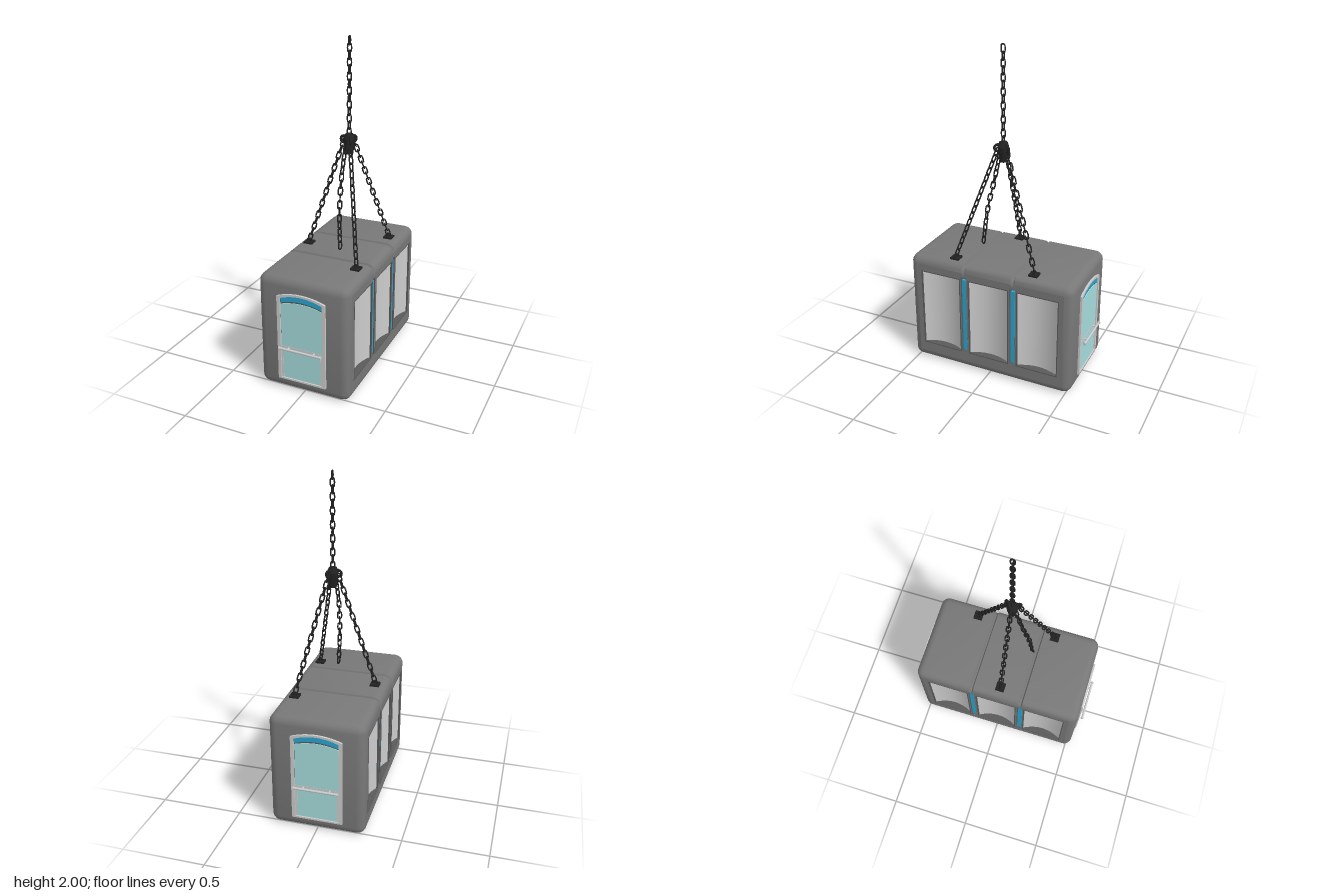
import * as THREE from 'three';
import { mergeGeometries, toCreasedNormals } from 'three/addons/utils/BufferGeometryUtils.js';

const mat = (color, side = THREE.FrontSide) => new THREE.MeshStandardMaterial({ color, side });
const grey = mat(0xcccccc), bodyGrey = mat(0x787878), dark = mat(0x222222);
const trim = mat(0x5a5a5a), blue = mat(0x2aa5d0), glass = mat(0xa6dcdc);

const L = 0.53, H = 0.715, W = 0.285, R = 0.05; // half length, height, half width, edge radius
const GROOVE = 0.161;

function add(parent, name, geometry, material, x = 0, y = 0, z = 0) {
  const mesh = new THREE.Mesh(geometry, material);
  mesh.name = name;
  mesh.position.set(x, y, z);
  parent.add(mesh);
  return mesh;
}

const rect = (x0, x1, y0, y1, T = THREE.Shape) =>
  new T([[x0, y0], [x1, y0], [x1, y1], [x0, y1]].map(p => new THREE.Vector2(...p)));

const extrude = (shape, depth) =>
  new THREE.ExtrudeGeometry(shape, { depth, bevelEnabled: false, curveSegments: 10 });

// Side outline of the cabin, with rounded corners and two notches in the roof
function outline(inset) {
  const r = Math.max(R - inset, 0.002), w = L - inset, top = H - inset, pts = [];
  const corner = (cx, cy, start) => {
    for (let i = 0; i <= 4; i++) {
      const a = start + i * Math.PI / 8;
      pts.push(new THREE.Vector2(cx + r * Math.cos(a), cy + r * Math.sin(a)));
    }
  };
  corner(w - r, inset + r, -Math.PI / 2);
  corner(w - r, top - r, 0);
  for (const s of [1, -1]) for (const [d, h] of [[0.012, 0], [0.004, 0.018], [-0.004, 0.018], [-0.012, 0]])
    pts.push(new THREE.Vector2(s * GROOVE + d, top - h));
  corner(-w + r, top - r, Math.PI / 2);
  corner(-w + r, inset + r, Math.PI);
  return pts;
}

// Rounded skin: outlines lofted across the width
function skinGeometry() {
  const rings = [];
  for (const s of [-1, 1]) for (let i = 0; i <= 4; i++) {
    const t = (s < 0 ? 4 - i : i) * Math.PI / 8;
    rings.push({ z: s * (W - R + R * Math.sin(t)), pts: outline(R * (1 - Math.cos(t))) });
  }
  const pos = [], idx = [], n = rings[0].pts.length;
  for (const ring of rings) for (const p of ring.pts) pos.push(p.x, p.y, ring.z);
  for (let j = 0; j < rings.length - 1; j++) for (let i = 0; i < n; i++) {
    const k = (i + 1) % n, a = j * n + i, b = j * n + k;
    idx.push(a, b, b + n, a, b + n, a + n);
  }
  const g = new THREE.BufferGeometry();
  g.setAttribute('position', new THREE.Float32BufferAttribute(pos, 3));
  g.setIndex(idx);
  return toCreasedNormals(g, 0.6);
}

// One long side: wall with openings, concave panels and blue strips
function makeSide() {
  const side = new THREE.Group();
  side.name = 'sideWall';
  const wall = new THREE.Shape(outline(R));
  const y0 = 0.115, y1 = 0.62, half = 0.13;
  for (const c of [-0.318, 0, 0.318]) {
    wall.holes.push(rect(c - half, c + half, y0, y1, THREE.Path));
    const frame = rect(c - half - 0.003, c + half + 0.003, y0 - 0.003, y1 + 0.003);
    frame.holes.push(rect(c - half + 0.003, c + half - 0.003, y0 + 0.003, y1 - 0.003, THREE.Path));
    add(side, 'panelFrame', extrude(frame, 0.05), trim, 0, 0, W - 0.049);
    const panel = new THREE.PlaneGeometry(2 * half, y1 - y0, 16, 1);
    const p = panel.attributes.position;
    for (let i = 0; i < p.count; i++) p.setZ(i, -0.036 * (1 - (p.getX(i) / half) ** 2));
    panel.computeVertexNormals();
    add(side, 'concavePanel', panel, grey, c, (y0 + y1) / 2, W - 0.008);
  }
  for (const c of [-GROOVE, GROOVE]) {
    wall.holes.push(rect(c - 0.017, c + 0.017, 0.12, 0.635, THREE.Path));
    const channel = rect(c - 0.018, c + 0.018, 0.119, 0.636);
    channel.holes.push(rect(c - 0.0165, c + 0.0165, 0.1205, 0.6345, THREE.Path));
    add(side, 'stripChannel', extrude(channel, 0.025), trim, 0, 0, W - 0.0255);
    add(side, 'channelBack', new THREE.PlaneGeometry(0.036, 0.517), trim, c, 0.3775, W - 0.025);
    add(side, 'blueStrip', new THREE.BoxGeometry(0.026, 0.49, 0.018), blue, c, 0.372, W - 0.015);
  }
  add(side, 'wall', new THREE.ShapeGeometry(wall), bodyGrey, 0, 0, W);
  return side;
}

// Panel with an arched top
function arch(w, y0, y1, rise, T = THREE.Shape) {
  const s = new T();
  s.moveTo(-w, y0);
  s.lineTo(w, y0);
  s.lineTo(w, y1);
  s.quadraticCurveTo(0, y1 + 2 * rise, -w, y1);
  s.lineTo(-w, y0);
  return s;
}

function makeDoor() {
  const door = new THREE.Group();
  door.name = 'door';
  const frame = arch(0.152, 0.07, 0.606, 0.028);
  frame.holes.push(arch(0.132, 0.08, 0.596, 0.026, THREE.Path));
  add(door, 'doorFrame', extrude(frame, 0.022), grey, 0, 0, L - 0.01);
  add(door, 'doorBacking', extrude(arch(0.135, 0.078, 0.598, 0.026), 0.01), trim, 0, 0, L - 0.008);
  add(door, 'upperGlass', extrude(arch(0.129, 0.29, 0.558, 0.02), 0.006), glass, 0, 0, L);
  add(door, 'lowerGlass', extrude(rect(-0.118, 0.118, 0.082, 0.275), 0.006), glass, 0, 0, L);
  for (const s of [-1, 1])
    add(door, 'lowerStile', new THREE.BoxGeometry(0.012, 0.195, 0.008), grey, s * 0.125, 0.178, L + 0.003);
  add(door, 'middleRail', new THREE.BoxGeometry(0.262, 0.014, 0.008), grey, 0, 0.283, L + 0.003);
  // Curved blue band above the glass
  const band = new THREE.Shape();
  band.moveTo(-0.129, 0.566);
  band.quadraticCurveTo(0, 0.61, 0.129, 0.566);
  band.lineTo(0.129, 0.594);
  band.quadraticCurveTo(0, 0.646, -0.129, 0.594);
  add(door, 'blueBand', extrude(band, 0.006), blue, 0, 0, L);
  // Push bar
  const bar = (r, len) => new THREE.CylinderGeometry(r, r, len, 12);
  add(door, 'pushBar', bar(0.007, 0.262), grey, 0, 0.283, 0.561).rotation.z = Math.PI / 2;
  for (const s of [-1, 1]) {
    add(door, 'barEnd', bar(0.01, 0.008), grey, s * 0.131, 0.283, 0.561).rotation.z = Math.PI / 2;
    add(door, 'barPost', bar(0.005, 0.03), grey, s * 0.08, 0.283, 0.546).rotation.x = Math.PI / 2;
  }
  return door;
}

// Stadium-shaped chain link standing along y
function linkGeometry() {
  const g = new THREE.TorusGeometry(0.0125, 0.0045, 6, 12);
  const p = g.attributes.position;
  for (let i = 0; i < p.count; i++)
    if (Math.abs(p.getY(i)) > 1e-4) p.setY(i, p.getY(i) + Math.sign(p.getY(i)) * 0.0125);
  g.computeVertexNormals();
  return g;
}

// Links set along a curve, every other one turned a quarter
function makeChain(parent, name, points) {
  const pts = points.map(p => new THREE.Vector3(...p));
  const curve = new THREE.CatmullRomCurve3(pts);
  const n = Math.round(curve.getLength() / 0.041), up = new THREE.Vector3(0, 1, 0);
  const links = [], scale = new THREE.Vector3(1, 1, 1);
  for (let i = 0; i < n; i++) {
    const u = (i + 0.5) / n;
    const q = new THREE.Quaternion().setFromUnitVectors(up, curve.getTangentAt(u).normalize());
    q.multiply(new THREE.Quaternion().setFromAxisAngle(up, (i % 2) * Math.PI / 2));
    links.push(linkGeometry().applyMatrix4(new THREE.Matrix4().compose(curve.getPointAt(u), q, scale)));
  }
  add(parent, name, mergeGeometries(links), dark);
}

function makeRigging() {
  const rig = new THREE.Group();
  rig.name = 'rigging';
  const hx = 0.053, hz = 0.005;
  makeChain(rig, 'hoistChain', [[hx, 1.43, hz], [hx, 1.99, hz]]);
  // Hub holding all the chains
  add(rig, 'hubBlock', new THREE.CylinderGeometry(0.036, 0.024, 0.09, 6), dark, hx, 1.365, hz);
  add(rig, 'hubCap', new THREE.CylinderGeometry(0.024, 0.038, 0.03, 6), dark, hx, 1.425, hz);
  const pads = [[-0.21, 0.012], [0.208, -0.265], [0.208, 0.247]];
  for (const [x, z] of pads) {
    const d = new THREE.Vector2(x - hx, z - hz).normalize();
    const sx = hx + d.x * 0.032, sz = hz + d.y * 0.032;
    const shackle = add(rig, 'shackle', new THREE.TorusGeometry(0.02, 0.008, 6, 12), dark, sx, 1.405, sz);
    shackle.rotation.y = -Math.atan2(d.y, d.x);
    makeChain(rig, 'slingChain', [[sx, 1.4, sz], [x, 0.735, z]]);
    add(rig, 'anchorPad', new THREE.BoxGeometry(0.056, 0.014, 0.056), dark, x, H + 0.004, z);
    add(rig, 'anchorEye', new THREE.TorusGeometry(0.014, 0.005, 6, 12), dark, x, H + 0.014, z);
  }
  makeChain(rig, 'looseChain',
    [[0.042, 1.37, 0.03], [0.035, 1.2, 0.07], [0.042, 1.0, 0.115], [0.057, 0.775, 0.14]]);
  return rig;
}

export function createModel() {
  const model = new THREE.Group();
  model.name = 'hangingCabin';
  const cabin = new THREE.Group();
  cabin.name = 'cabin';
  cabin.rotation.y = Math.PI / 2;
  add(cabin, 'cabinSkin', skinGeometry(), bodyGrey);
  for (const turn of [0, Math.PI]) {
    const side = makeSide();
    side.rotation.y = turn;
    cabin.add(side);
    const door = makeDoor();
    door.rotation.y = turn;
    door.position.x = -0.004;
    model.add(door);
  }
  model.add(cabin, makeRigging());
  return model;
}
